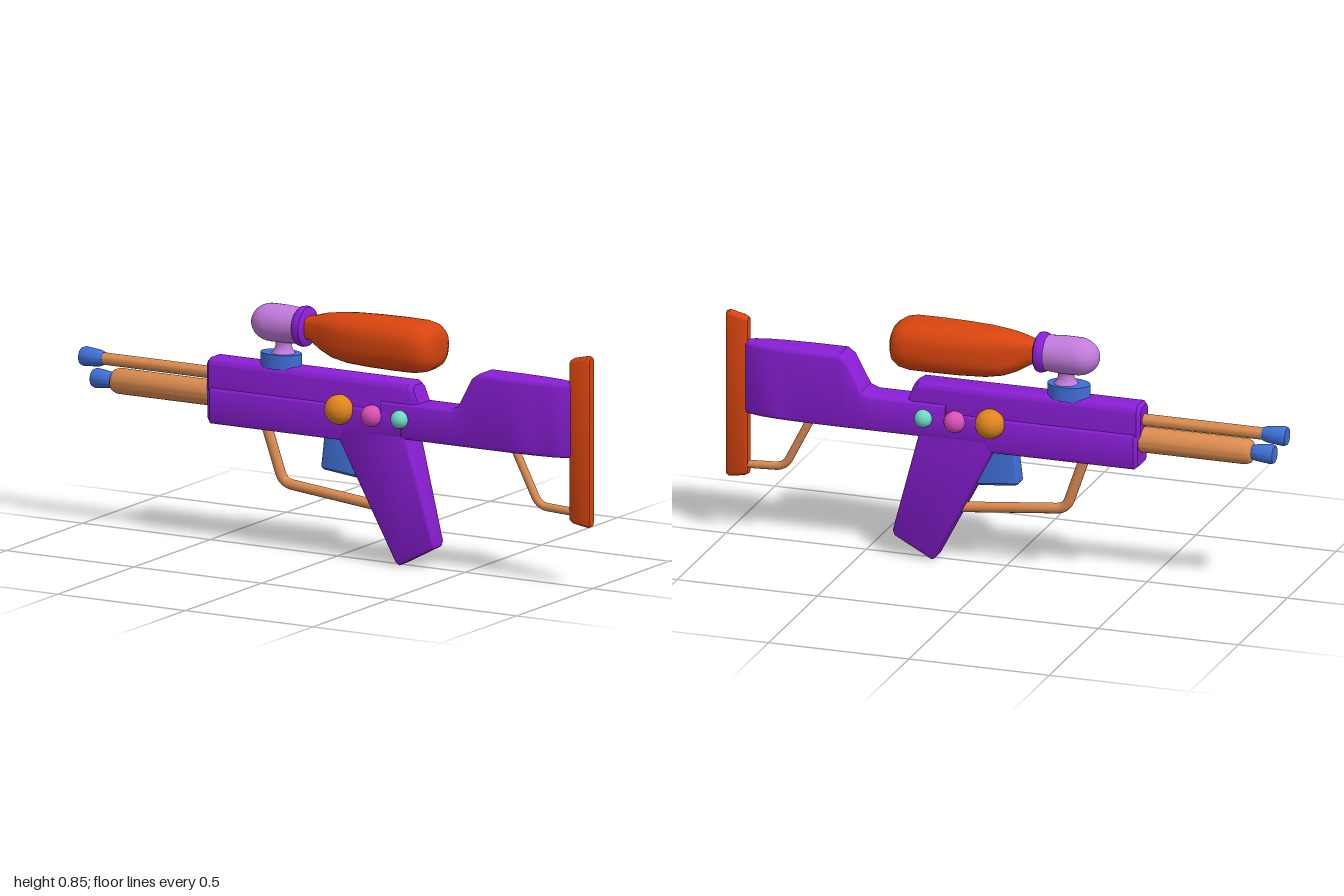
import * as THREE from 'three';
import { toCreasedNormals } from 'three/addons/utils/BufferGeometryUtils.js';

const PURPLE = 0x8a1ed6, RED = 0xd9450f, TAN = 0xdb8b4f, BLUE = 0x3f6fd6, LILAC = 0xc27bdc;

// Lofts rounded rectangles. Each section is [ax, ay, bx, by, halfWidth, cornerRadius]:
// a to b is its extent in the xy plane, halfWidth its reach in z.
function loft(sections, crease = 0.6) {
  const pos = [], index = [], steps = 6, n = 4 * (steps + 1);
  for (const [ax, ay, bx, by, w, r0] of sections) {
    const len = Math.hypot(bx - ax, by - ay), h = len / 2;
    const r = Math.min(r0, h * 0.97, w * 0.97);
    const ux = (bx - ax) / len, uy = (by - ay) / len;
    for (let c = 0; c < 4; c++) {
      const su = c === 0 || c === 3 ? 1 : -1, sv = c < 2 ? 1 : -1;
      for (let s = 0; s <= steps; s++) {
        const t = (c + s / steps) * Math.PI / 2;
        const u = su * (h - r) + r * Math.cos(t), v = sv * (w - r) + r * Math.sin(t);
        pos.push((ax + bx) / 2 + ux * u, (ay + by) / 2 + uy * u, v);
      }
    }
  }
  const last = (sections.length - 1) * n;
  for (let k = 0; k < last; k += n) {
    for (let j = 0; j < n; j++) {
      const a = k + j, b = k + (j + 1) % n;
      index.push(a, b, b + n, a, b + n, a + n);
    }
  }
  for (let j = 1; j < n - 1; j++) {
    index.push(0, j + 1, j, last, last + j, last + j + 1);
  }
  const g = new THREE.BufferGeometry();
  g.setAttribute('position', new THREE.Float32BufferAttribute(pos, 3));
  g.setIndex(index);
  return toCreasedNormals(g, crease);
}

// Turned part along x; profile is [x, radius] from right to left.
function turned(profile, y) {
  const g = new THREE.LatheGeometry(profile.map(([x, r]) => new THREE.Vector2(r, -x)), 32);
  return toCreasedNormals(g.rotateZ(Math.PI / 2).translate(0, y, 0), 0.7);
}

// Bent rod with softly rounded corners.
function rod(points, radius) {
  const p = points.map(([x, y]) => new THREE.Vector3(x, y, 0));
  const path = new THREE.CurvePath();
  let from = p[0];
  for (let i = 1; i < p.length - 1; i++) {
    const before = p[i].clone().add(p[i - 1].clone().sub(p[i]).setLength(0.035));
    const after = p[i].clone().add(p[i + 1].clone().sub(p[i]).setLength(0.035));
    path.add(new THREE.LineCurve3(from, before));
    path.add(new THREE.QuadraticBezierCurve3(before, p[i], after));
    from = after;
  }
  path.add(new THREE.LineCurve3(from, p[p.length - 1]));
  return new THREE.TubeGeometry(path, 60, radius, 14);
}

export function createModel() {
  const model = new THREE.Group();
  const add = (name, geometry, color) => {
    const mesh = new THREE.Mesh(geometry, new THREE.MeshStandardMaterial({ color }));
    mesh.name = name;
    model.add(mesh);
    return mesh;
  };

  // Receiver: narrower upper half above a slightly wider lower half
  add('upperReceiver', loft([
    [-0.49, 0.5, -0.49, 0.63, 0.038, 0.02],
    [-0.478, 0.5, -0.478, 0.64, 0.048, 0.024],
    [0.34, 0.5, 0.298, 0.64, 0.048, 0.024],
    [0.365, 0.5, 0.315, 0.63, 0.038, 0.02],
  ]), PURPLE);
  add('lowerReceiver', loft([
    [-0.483, 0.425, -0.483, 0.53, 0.046, 0.014],
    [-0.47, 0.415, -0.47, 0.54, 0.056, 0.014],
    [0.04, 0.415, 0.04, 0.54, 0.056, 0.014],
    [0.06, 0.445, 0.06, 0.54, 0.056, 0.014],
    [0.28, 0.445, 0.28, 0.54, 0.056, 0.014],
  ]), PURPLE);

  // Grip, running down from the receiver to its slanted foot
  add('grip', loft([
    [-0.005, 0.48, 0.29, 0.48, 0.054, 0.014],
    [0.035, 0.415, 0.305, 0.425, 0.055, 0.014],
    [0.243, 0.015, 0.396, 0.095, 0.036, 0.012],
    [0.254, 0.003, 0.394, 0.078, 0.028, 0.01],
  ]), PURPLE);

  // Stock, narrowing in a curve towards the butt
  add('stock', loft([
    [0.2, 0.445, 0.2, 0.57, 0.055, 0.014],
    [0.47, 0.445, 0.47, 0.57, 0.055, 0.014],
    [0.5, 0.445, 0.5, 0.582, 0.055, 0.014],
    [0.555, 0.445, 0.555, 0.685, 0.055, 0.014],
    [0.58, 0.445, 0.58, 0.703, 0.055, 0.014],
    [0.7, 0.445, 0.7, 0.703, 0.054, 0.014],
    [0.79, 0.445, 0.79, 0.703, 0.05, 0.014],
    [0.86, 0.445, 0.86, 0.703, 0.042, 0.014],
    [0.9, 0.445, 0.9, 0.703, 0.031, 0.014],
    [0.925, 0.445, 0.925, 0.703, 0.018, 0.014],
  ]), PURPLE);
  add('buttPlate', loft([
    [0.918, 0.226, 0.918, 0.782, 0.017, 0.02],
    [0.93, 0.219, 0.93, 0.79, 0.02, 0.02],
    [0.985, 0.21, 0.985, 0.803, 0.02, 0.02],
    [0.996, 0.216, 0.996, 0.798, 0.014, 0.02],
  ]), RED);

  // Barrels with their tips
  add('upperBarrel', turned([[-0.46, 0], [-0.46, 0.021], [-0.93, 0.021], [-0.93, 0]], 0.58), TAN);
  add('lowerBarrel', turned([
    [-0.46, 0], [-0.46, 0.044], [-0.855, 0.044], [-0.872, 0.038], [-0.878, 0.028], [-0.878, 0],
  ], 0.51), TAN);
  add('upperBarrelTip', turned([
    [-0.914, 0], [-0.914, 0.022], [-0.93, 0.028], [-0.988, 0.034], [-1, 0.03], [-1, 0],
  ], 0.58), BLUE);
  add('lowerBarrelTip', turned([
    [-0.872, 0], [-0.872, 0.022], [-0.89, 0.028], [-0.945, 0.034], [-0.955, 0.03], [-0.955, 0],
  ], 0.51), BLUE);

  // Trigger and rods
  add('trigger', loft([
    [-0.035, 0.44, 0.05, 0.44, 0.03, 0.008],
    [-0.05, 0.31, 0.1, 0.295, 0.03, 0.008],
    [-0.045, 0.302, 0.092, 0.287, 0.024, 0.008],
  ]), BLUE);
  add('triggerGuard', rod([[-0.285, 0.44], [-0.213, 0.232], [0.17, 0.193]], 0.018), TAN);
  add('stockBrace', rod([[0.685, 0.47], [0.79, 0.265], [0.94, 0.258]], 0.014), TAN);

  // Round studs on both sides
  const studs = [
    ['largeStud', 0.04, 0.523, 0.051, 0.057, 0xe0851c],
    ['middleStud', 0.166, 0.515, 0.037, 0.056, 0xd94fb6],
    ['smallStud', 0.277, 0.515, 0.031, 0.058, 0x6fd9c6],
  ];
  for (const side of [1, -1]) {
    for (const [name, x, y, r, z, color] of studs) {
      add(name, new THREE.SphereGeometry(r, 28, 18), color).position.set(x, y, side * z);
    }
  }

  // Tank mount: base, flared neck, domed cap and collar
  const base = add('mountBase', new THREE.CylinderGeometry(0.075, 0.075, 0.05, 36), BLUE);
  base.scale.z = 0.7;
  base.position.set(-0.222, 0.655, 0);
  const neck = [[0.045, 0.675], [0.034, 0.688], [0.027, 0.705], [0.03, 0.725], [0.04, 0.74]];
  add('mountNeck', new THREE.LatheGeometry(neck.map(([r, y]) => new THREE.Vector2(r, y)), 24), LILAC)
    .position.x = -0.212;
  const dome = [[-0.13, 0], [-0.13, 0.06], [-0.2, 0.065]];
  for (let i = 0; i <= 10; i++) {
    const t = i / 10 * Math.PI / 2;
    dome.push([-0.255 - 0.075 * Math.sin(t), 0.065 * Math.cos(t)]);
  }
  add('mountDome', turned(dome, 0.78), LILAC);
  add('mountCollar', turned([
    [-0.11, 0], [-0.11, 0.058], [-0.116, 0.067], [-0.128, 0.07], [-0.142, 0.067], [-0.15, 0.058], [-0.15, 0],
  ], 0.78), PURPLE);

  // Tank: bottle neck swelling into a soft squarish body
  const tank = [
    [-0.125, 0.74, 0.815, 0.035], [-0.095, 0.737, 0.82, 0.04], [-0.05, 0.71, 0.832, 0.054],
    [0, 0.69, 0.839, 0.07], [0.06, 0.68, 0.844, 0.084], [0.15, 0.676, 0.847, 0.093],
    [0.25, 0.675, 0.848, 0.098], [0.33, 0.676, 0.847, 0.1], [0.365, 0.683, 0.84, 0.095],
    [0.388, 0.698, 0.825, 0.08], [0.398, 0.72, 0.803, 0.058], [0.4, 0.74, 0.783, 0.035],
  ];
  add('tank', loft(tank.map(([x, y0, y1, w]) => [x, y0, x, y1, w, w * 0.72]), 1), RED);

  return model;
}
